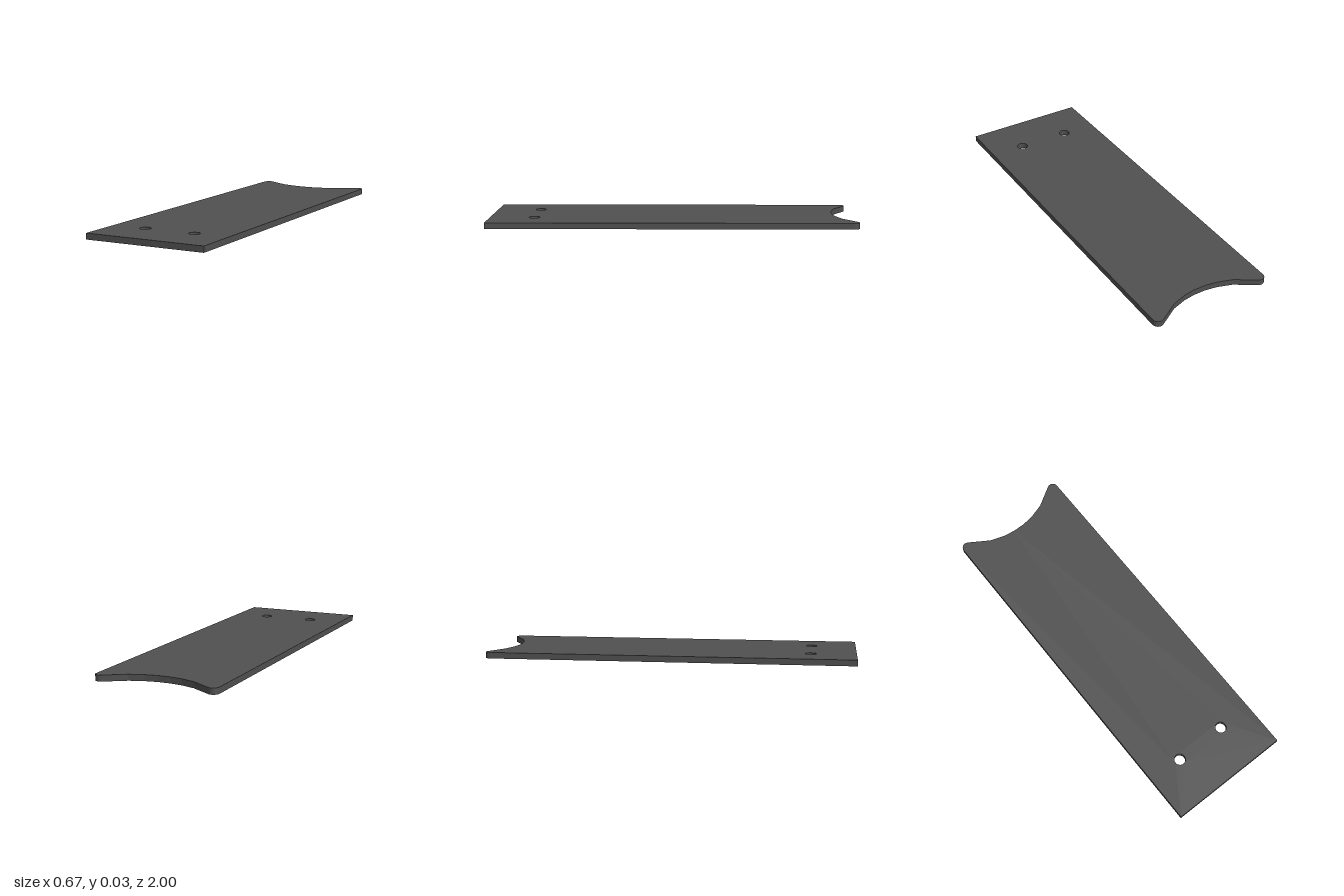
import * as THREE from 'three';

const HALF_W = 0.337, THICK = 0.033, CORNER = 0.03;

export function createModel() {
  const group = new THREE.Group();
  group.name = 'mountingPlate';

  // Right half of the scalloped end: rounded horn, then the shallow faceted curve (shape y = -z)
  const half = [];
  for (let i = 0; i <= 6; i++) {
    const a = THREE.MathUtils.degToRad(122) * i / 6;
    half.push([HALF_W - CORNER + CORNER * Math.cos(a), 1 - CORNER + CORNER * Math.sin(a)]);
  }
  half.push([0.18, 0.925], [0.1, 0.899], [0.035, 0.889]);

  // Outline: square front end, mirrored scalloped back end
  const mirrored = half.map(([x, y]) => [-x, y]).reverse();
  const outline = [[-HALF_W, -1], [HALF_W, -1], ...half, ...mirrored];
  const shape = new THREE.Shape(outline.map(([x, y]) => new THREE.Vector2(x, y)));

  // Two screw holes near the front end
  for (const side of [-1, 1]) {
    const hole = new THREE.Path();
    hole.absarc(side * 0.144, -0.755, 0.03, 0, Math.PI * 2, true);
    shape.holes.push(hole);
  }

  // Lay the extruded slab flat on the ground
  const geometry = new THREE.ExtrudeGeometry(shape, { depth: THICK, bevelEnabled: false, curveSegments: 12 });
  geometry.rotateX(-Math.PI / 2);

  const plate = new THREE.Mesh(geometry, new THREE.MeshStandardMaterial({ color: 0x505050 }));
  plate.name = 'plate';
  group.add(plate);
  return group;
}
